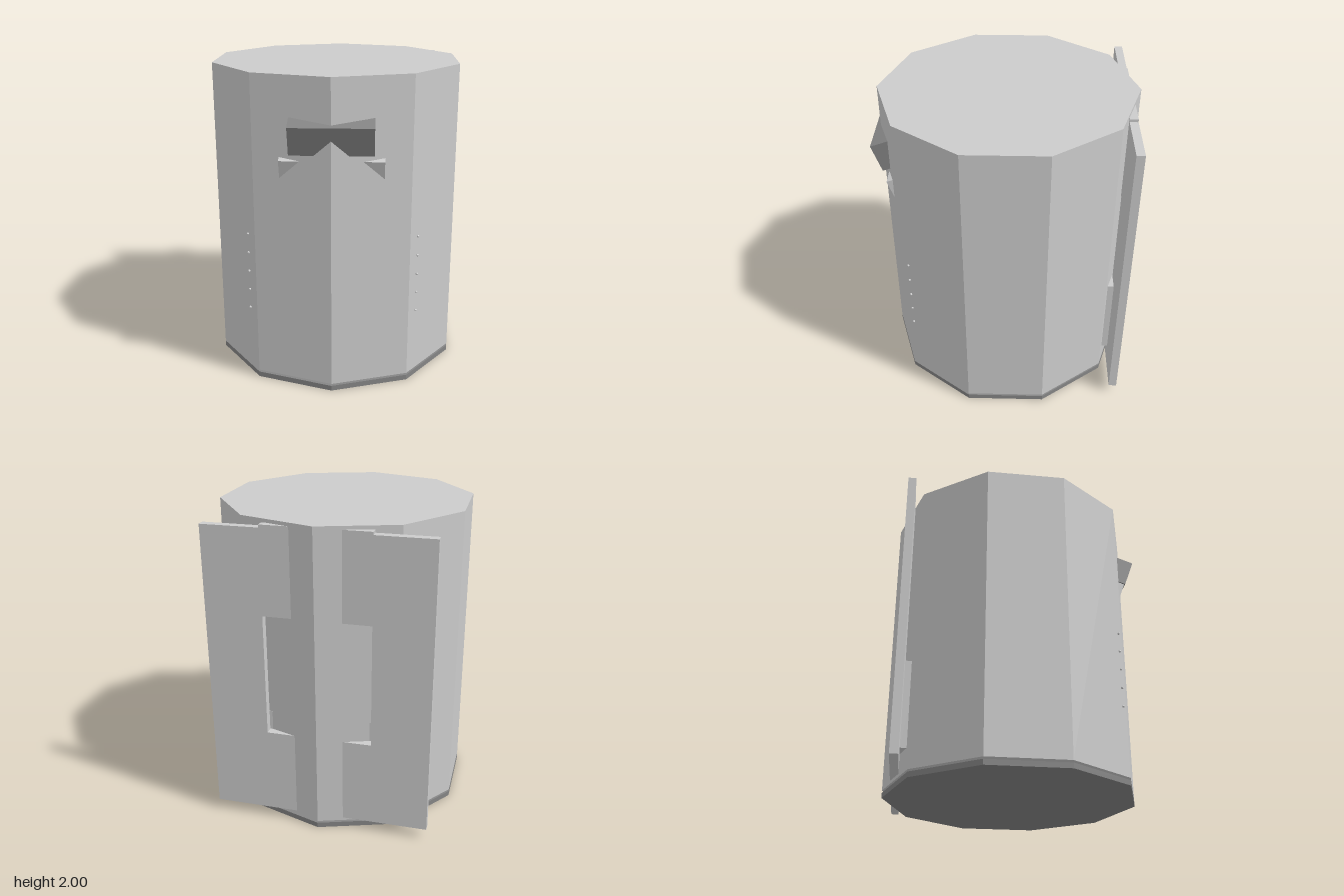
import * as THREE from 'three';

const grey = new THREE.MeshStandardMaterial({ color: 0xcccccc, flatShading: true });
const dark = new THREE.MeshStandardMaterial({ color: 0x858585, flatShading: true });
const AXIS_Z = -0.0175; // centre line of the ten-sided body

export function createModel() {
  const model = new THREE.Group();
  model.name = 'decagonalContainer';

  function add(name, geometry, x, y, z, material = grey) {
    const mesh = new THREE.Mesh(geometry, material);
    mesh.name = name;
    mesh.position.set(x, y, z);
    model.add(mesh);
    return mesh;
  }

  // Box given by its lower and upper corner
  function addBox(name, x0, x1, y0, y1, z0, z1) {
    return add(name, new THREE.BoxGeometry(Math.abs(x1 - x0), y1 - y0, z1 - z0),
      (x0 + x1) / 2, (y0 + y1) / 2, (z0 + z1) / 2);
  }

  // Ten-sided prism between two heights
  function addPrism(name, y0, y1, material) {
    add(name, new THREE.CylinderGeometry(0.82, 0.82, y1 - y0, 10), 0, (y0 + y1) / 2, AXIS_Z, material);
  }

  // Body over a thin separate base plate
  addPrism('body', 0.048, 2, grey);
  addPrism('basePlate', 0, 0.034, dark);

  // Box sunk into the front; its upper front edge is at (topY, topZ)
  const tilt = 0.342;
  function addTilted(name, x, width, height, topY, topZ, material) {
    const depth = 0.15;
    const s = Math.sin(tilt), c = Math.cos(tilt);
    const mesh = add(name, new THREE.BoxGeometry(width, height, depth), x,
      topY - c * height / 2 + s * depth / 2,
      topZ - s * height / 2 - c * depth / 2, material);
    mesh.rotation.x = tilt;
  }
  addTilted('frontVisor', 0, 0.505, 0.188, 1.714, 0.832, dark);

  for (const side of [-1, 1]) {
    const label = side > 0 ? 'left' : 'right';

    // Small wedge under the visor
    addTilted(label + 'FrontWedge', side * 0.225, 0.18, 0.12, 1.495, 0.741, grey);

    // Column of tiny studs
    for (let i = 0; i < 5; i++) {
      add(label + 'Stud', new THREE.SphereGeometry(0.008, 8, 6), side * 0.53, 0.487 + i * 0.126, 0.615);
    }

    // Rear panel with a notch left open between its two inner tabs
    addBox(label + 'RearPanel', side * 0.335, side * 0.7, 0.068, 1.96, -0.787, -0.735);
    addBox(label + 'UpperTab', side * 0.1, side * 0.335, 1.42, 1.978, -0.787, -0.735);
    addBox(label + 'LowerTab', side * 0.1, side * 0.335, 0.068, 0.63, -0.787, -0.735);

    // Bracket joining panel and body
    addBox(label + 'Bracket', side * 0.3, side * 0.44, 0.19, 0.757, -0.735, -0.66);
  }
  return model;
}
